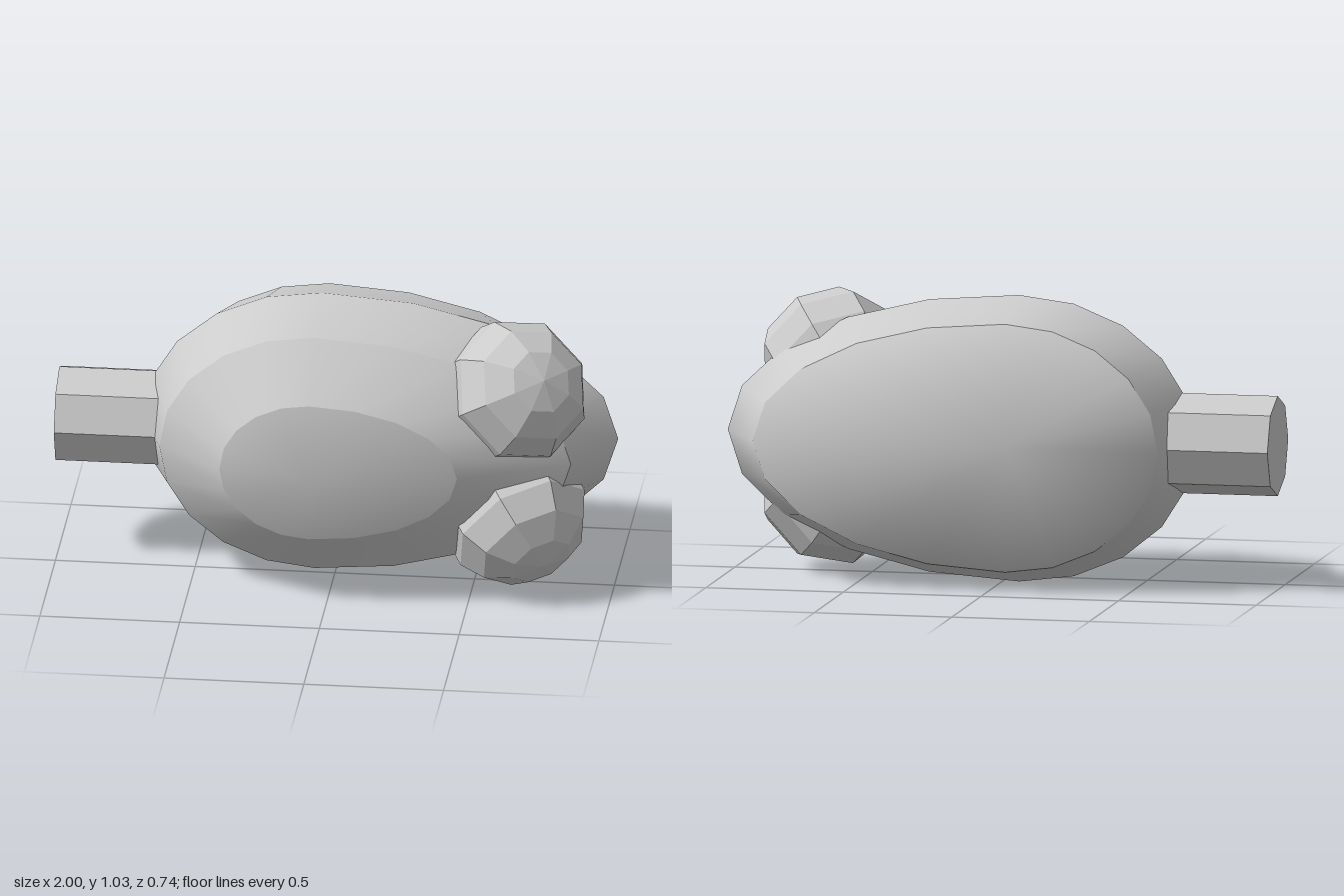
import * as THREE from 'three';

const MID_Y = 0.518;
const grey = (flat) => new THREE.MeshStandardMaterial({ color: 0xcccccc, flatShading: flat });

// Egg-shaped ring of the body at a latitude: blunt towards -x, long towards +x
function ring(latitude) {
  const points = [];
  const size = Math.cos(latitude);
  for (let i = 0; i < 20; i++) {
    const a = (i / 20) * Math.PI * 2;
    const rx = Math.cos(a) < 0 ? 0.64 : 1.06;
    points.push([
      -0.06 + Math.cos(a) * rx * size,
      MID_Y + Math.sin(a) * 0.515 * size,
      -0.122 + Math.sin(latitude) * 0.49,
    ]);
  }
  return points;
}

// Smooth band between two rings, the second one further forward
function band(back, front) {
  const n = back.length;
  const index = [];
  for (let i = 0; i < n; i++) {
    const j = (i + 1) % n;
    index.push(i, j, n + j, i, n + j, n + i);
  }
  const geometry = new THREE.BufferGeometry();
  geometry.setAttribute('position', new THREE.Float32BufferAttribute([...back, ...front].flat(), 3));
  geometry.setIndex(index);
  geometry.computeVertexNormals();
  return geometry;
}

// Fan closing a ring around a centre point; rim normals lean outwards for soft shading
function cap(rim, z, dir) {
  const n = rim.length;
  const center = [-0.06, MID_Y, z];
  const normals = [];
  const index = [];
  const lean = dir > 0 ? 0.25 : 0.8;
  rim.forEach((p, i) => {
    const out = new THREE.Vector3((p[0] + 0.06) / 1.1, (p[1] - MID_Y) / 0.5, 0).normalize();
    out.multiplyScalar(lean).setZ(dir).normalize();
    normals.push(out.x, out.y, out.z);
    const j = (i + 1) % n;
    index.push(...(dir > 0 ? [i, j, n] : [j, i, n]));
  });
  normals.push(0, 0, dir);
  const geometry = new THREE.BufferGeometry();
  geometry.setAttribute('position', new THREE.Float32BufferAttribute([...rim, center].flat(), 3));
  geometry.setAttribute('normal', new THREE.Float32BufferAttribute(normals, 3));
  geometry.setIndex(index);
  return geometry;
}

// Faceted bulb whose pole points outwards; side = 1 for upper, -1 for lower
function makeBulb(side) {
  const geometry = new THREE.SphereGeometry(0.265, 8, 7);
  const pos = geometry.attributes.position;
  for (let i = 0; i < pos.count; i++) {
    const y = pos.getY(i);
    pos.setY(i, y * (y * side > 0 ? 0.88 : 1.04));
  }
  const bulb = new THREE.Mesh(geometry, grey(true));
  const pole = new THREE.Vector3(0.5, 0.5 * side, 0.7).normalize();
  bulb.quaternion.setFromUnitVectors(new THREE.Vector3(0, side, 0), pole);
  bulb.position.set(0.655, MID_Y + 0.242 * side, 0.052);
  bulb.name = side > 0 ? 'upperBulb' : 'lowerBulb';
  return bulb;
}

export function createModel() {
  const model = new THREE.Group();
  model.name = 'model';

  // Body: three bands, a shallow front dome and a flat back
  const body = new THREE.Group();
  body.name = 'body';
  const rings = [-30, 0, 30, 60].map((deg) => ring(THREE.MathUtils.degToRad(deg)));
  const addBody = (geometry, name) => {
    const mesh = new THREE.Mesh(geometry, grey(false));
    mesh.name = name;
    body.add(mesh);
  };
  ['rearBand', 'middleBand', 'frontBand'].forEach((name, i) => addBody(band(rings[i], rings[i + 1]), name));
  addBody(cap(rings[3], 0.368, 1), 'frontDome');
  addBody(cap(rings[0], rings[0][0][2], -1), 'flatBack');
  model.add(body);

  // Octagonal stem
  const stem = new THREE.Mesh(new THREE.CylinderGeometry(0.18, 0.18, 0.6, 8), grey(true));
  stem.rotation.z = Math.PI / 2;
  stem.position.set(-0.7, MID_Y + 0.002, -0.127);
  stem.name = 'stem';
  model.add(stem);

  // Pair of bulbs
  model.add(makeBulb(1), makeBulb(-1));
  return model;
}
